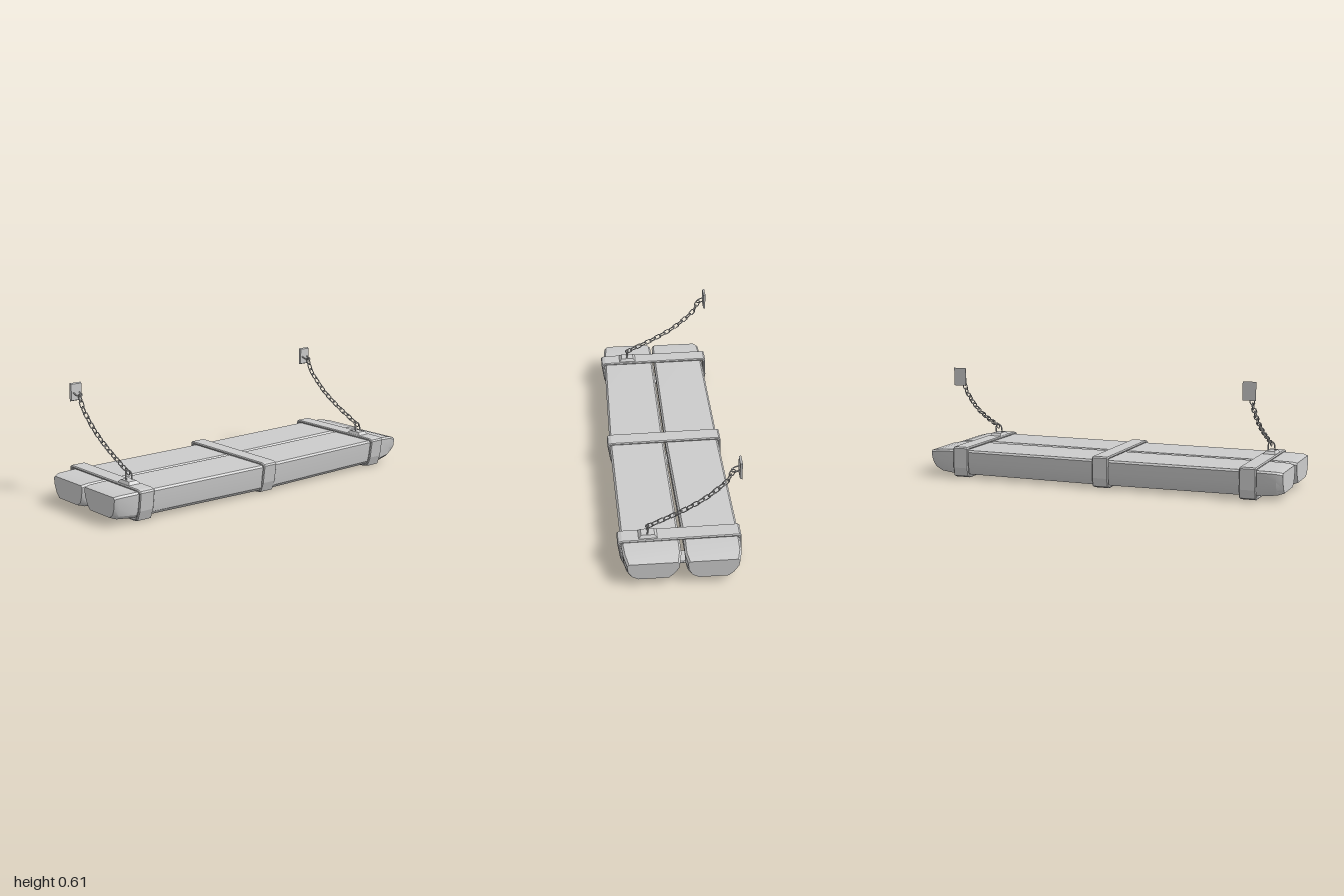
import * as THREE from 'three';
import { toCreasedNormals } from 'three/addons/utils/BufferGeometryUtils.js';

const smooth = new THREE.MeshStandardMaterial({ color: 0xcccccc });
const flat = new THREE.MeshStandardMaterial({ color: 0xcccccc, flatShading: true });

function add(parent, name, geometry, material = flat) {
  const mesh = new THREE.Mesh(geometry, material);
  mesh.name = name;
  parent.add(mesh);
  return mesh;
}

// Plank cross-section as [z, y], from the top back edge round to the lower back
function section([x, z0, z1, yb, yt, inset]) {
  const mid = yb + (yt - yb) * 0.5, bev = 0.01;
  return [
    [z0 + bev, yt], [z1 - bev, yt], [z1, yt - bev], [z1 - 0.004, mid],
    [z1 - inset * 0.4, yb + 0.018], [z1 - inset, yb],
    [z0 + inset, yb], [z0 + inset * 0.5, yb + 0.025], [z0 + 0.005, mid + 0.01], [z0, yt - bev],
  ].map(([z, y]) => [x, y, z]);
}

// Skin through the plank's sections, closed at both ends
function loft(stations) {
  const loops = stations.map(section), n = loops[0].length, pos = [], index = [];
  loops.forEach((l) => l.forEach((p) => pos.push(...p)));
  for (let i = 0; i < loops.length - 1; i++) {
    for (let j = 0; j < n; j++) {
      const a = i * n + j, d = i * n + (j + 1) % n, b = a + n, c = d + n;
      index.push(a, d, c, a, c, b);
    }
  }
  const last = (loops.length - 1) * n;
  for (let j = 1; j < n - 1; j++) {
    index.push(0, j + 1, j);
    index.push(last, last + j, last + j + 1);
  }
  const g = new THREE.BufferGeometry();
  g.setAttribute('position', new THREE.Float32BufferAttribute(pos, 3));
  g.setIndex(index);
  return toCreasedNormals(g, 0.55);
}

// Closed metal band wrapped round both planks
function strapGeometry(width) {
  const outline = [[0.313, 0.155], [0.308, 0.164], [0.29, 0.17], [-0.302, 0.175], [-0.311, 0.168],
    [-0.314, 0.06], [-0.307, 0.015], [-0.28, 0.004], [0.25, 0.002], [0.28, 0.008], [0.3, 0.06]];
  const toShape = ([z, y]) => new THREE.Vector2(-z, y);
  const shape = new THREE.Shape(outline.map(toShape));
  shape.holes.push(new THREE.Path(
    outline.map(([z, y]) => toShape([z * 0.952, 0.088 + (y - 0.088) * 0.84])).reverse()));
  const bevel = 0.005;
  const g = new THREE.ExtrudeGeometry(shape, {
    depth: width - 2 * bevel, bevelEnabled: true, bevelThickness: bevel,
    bevelSize: bevel, bevelOffset: -bevel, bevelSegments: 1,
  });
  g.translate(0, 0, bevel - width / 2);
  return g.rotateY(Math.PI / 2);
}

// Rectangular plate narrowing towards its top
function plateGeometry(w, d, h, taper) {
  const g = new THREE.CylinderGeometry(Math.SQRT1_2 * taper, Math.SQRT1_2, h, 4);
  return g.rotateY(Math.PI / 4).scale(w, 1, d);
}

// U-shaped staple standing on y = 0
function stapleGeometry(height) {
  const points = [[-0.018, 0], [-0.018, height * 0.65], [-0.01, height], [0.01, height],
    [0.018, height * 0.65], [0.018, 0]].map(([x, y]) => new THREE.Vector3(x, y, 0));
  const curve = new THREE.CatmullRomCurve3(points, false, 'catmullrom', 0.2);
  return new THREE.TubeGeometry(curve, 16, 0.0038, 6);
}

// Octagonal chain link, stretched along x
function linkGeometry() {
  const g = new THREE.TorusGeometry(0.0125, 0.003, 6, 8).rotateZ(Math.PI / 8);
  const p = g.attributes.position;
  for (let i = 0; i < p.count; i++) p.setX(i, p.getX(i) + Math.sign(p.getX(i)) * 0.008);
  return g;
}

function hanger(x) {
  const group = new THREE.Group();
  group.position.x = x;

  // Fixing on the strap
  add(group, 'strapPlate', plateGeometry(0.07, 0.097, 0.016, 0.7)).position.set(0, 0.178, 0.153);
  const low = add(group, 'strapStaple', stapleGeometry(0.05), smooth);
  low.position.set(0, 0.182, 0.157);
  low.rotation.x = -0.18;

  // Fixing on the wall
  const wall = add(group, 'wallPlate', plateGeometry(0.07, 0.096, 0.011, 0.9));
  wall.rotation.x = Math.PI / 2;
  wall.position.set(0, 0.563, -0.304);
  const high = add(group, 'wallStaple', stapleGeometry(0.042), smooth);
  high.position.set(0, 0.561, -0.302);
  high.rotation.x = 1.93;

  // Sagging chain, every other link turned a quarter
  const path = new THREE.CatmullRomCurve3([[0.143, 0.226], [0.075, 0.26], [0.01, 0.292], [-0.045, 0.323],
    [-0.1, 0.357], [-0.15, 0.394], [-0.195, 0.435], [-0.24, 0.482], [-0.265, 0.534]]
    .map(([z, y]) => new THREE.Vector3(0, y, z)));
  const geometry = linkGeometry(), across = new THREE.Vector3(1, 0, 0), count = 17;
  const chain = new THREE.Group();
  chain.name = 'chain';
  for (let i = 0; i < count; i++) {
    const link = add(chain, 'chainLink', geometry, smooth);
    const t = path.getTangentAt(i / (count - 1));
    const up = new THREE.Vector3().crossVectors(across, t);
    const basis = i % 2
      ? new THREE.Matrix4().makeBasis(t, across, up.clone().negate())
      : new THREE.Matrix4().makeBasis(t, up, across);
    link.quaternion.setFromRotationMatrix(basis);
    link.position.copy(path.getPointAt(i / (count - 1)));
  }
  group.add(chain);
  return group;
}

export function createModel() {
  const model = new THREE.Group();
  model.name = 'hangingShelf';

  // Planks: stations of [x, back z, front z, bottom y, top y, lower inset]
  add(model, 'frontPlank', loft([
    [-0.995, 0.012, 0.272, 0.04, 0.15, 0.045],
    [-0.97, 0.004, 0.284, 0.032, 0.156, 0.035],
    [-0.88, 0.002, 0.29, 0.024, 0.158, 0.03],
    [0, 0.004, 0.302, 0.014, 0.156, 0.03],
    [0.86, -0.006, 0.29, 0.02, 0.158, 0.03],
    [0.93, -0.006, 0.284, 0.028, 0.154, 0.035],
    [0.99, 0.006, 0.268, 0.042, 0.138, 0.055],
  ]), smooth);
  add(model, 'backPlank', loft([
    [-0.992, -0.272, -0.014, 0.038, 0.148, 0.045],
    [-0.96, -0.288, -0.006, 0.03, 0.155, 0.035],
    [-0.88, -0.292, -0.006, 0.022, 0.157, 0.03],
    [0, -0.296, -0.004, 0.016, 0.155, 0.03],
    [0.86, -0.308, -0.024, 0.02, 0.157, 0.03],
    [0.94, -0.306, -0.022, 0.028, 0.154, 0.035],
    [0.997, -0.292, -0.034, 0.04, 0.143, 0.055],
  ]), smooth);

  // Bands: [name, x, z shift]
  const strap = strapGeometry(0.09);
  for (const [name, x, z] of [['rightStrap', -0.82, -0.004], ['middleStrap', -0.015, 0.002], ['leftStrap', 0.805, -0.005]]) {
    add(model, name, strap).position.set(x, 0, z);
  }

  // Chains with their fixings
  for (const [name, x] of [['rightHanger', -0.822], ['leftHanger', 0.802]]) {
    const h = hanger(x);
    h.name = name;
    model.add(h);
  }
  return model;
}
